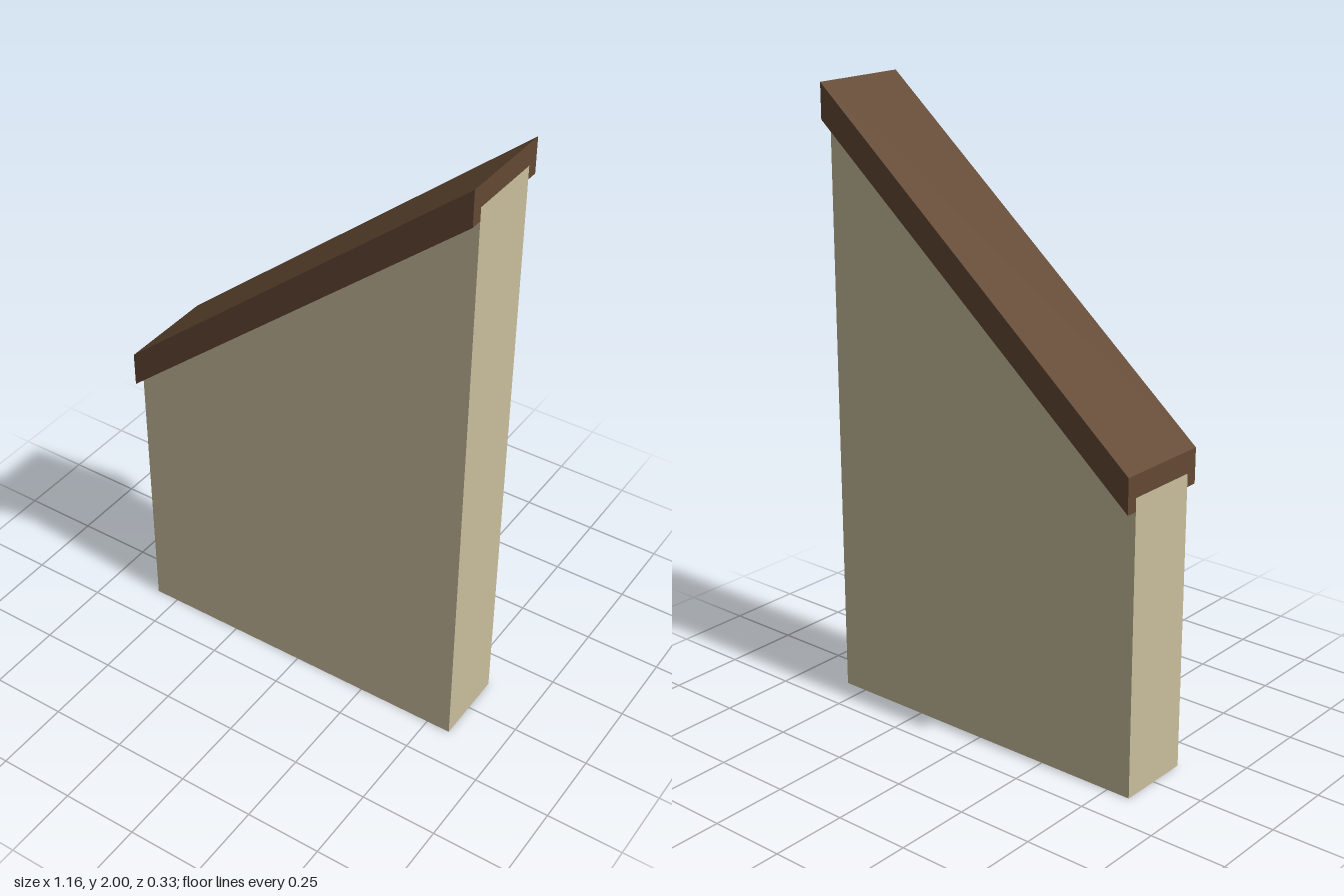
import * as THREE from 'three';

const HALF_LENGTH = 0.58;
const SLOPE = 0.841;

function polygon(points) {
  return new THREE.Shape(points.map(([x, y]) => new THREE.Vector2(x, y)));
}

function makeMesh(name, geometry, color) {
  const mesh = new THREE.Mesh(geometry, new THREE.MeshStandardMaterial({ color, flatShading: true }));
  mesh.name = name;
  return mesh;
}

export function createModel() {
  const model = new THREE.Group();
  model.name = 'slopedWall';

  // Wall panel with a slanted top edge
  const wallHalf = 0.126;
  const rise = SLOPE * HALF_LENGTH;
  const wallMid = 1.442;
  const wall = new THREE.ExtrudeGeometry(polygon([
    [-HALF_LENGTH, 0], [HALF_LENGTH, 0],
    [HALF_LENGTH, wallMid + rise], [-HALF_LENGTH, wallMid - rise],
  ]), { depth: wallHalf * 2, bevelEnabled: false });
  wall.translate(0, 0, -wallHalf);
  model.add(makeMesh('wall', wall, 0xc9bd9c));

  // Coping: a channel section run along x, then sheared to follow the slope
  const capHalf = 0.164, capTop = 1.512, capBottom = 1.4;
  const cap = new THREE.ExtrudeGeometry(polygon([
    [-capHalf, capBottom], [-wallHalf, capBottom], [-wallHalf, wallMid],
    [wallHalf, wallMid], [wallHalf, capBottom], [capHalf, capBottom],
    [capHalf, capTop], [-capHalf, capTop],
  ]), { depth: HALF_LENGTH * 2, bevelEnabled: false });
  cap.translate(0, 0, -HALF_LENGTH).rotateY(Math.PI / 2);
  cap.applyMatrix4(new THREE.Matrix4().set(
    1, 0, 0, 0,
    SLOPE, 1, 0, 0,
    0, 0, 1, 0,
    0, 0, 0, 1,
  ));
  cap.computeVertexNormals();
  model.add(makeMesh('coping', cap, 0x634833));

  return model;
}
